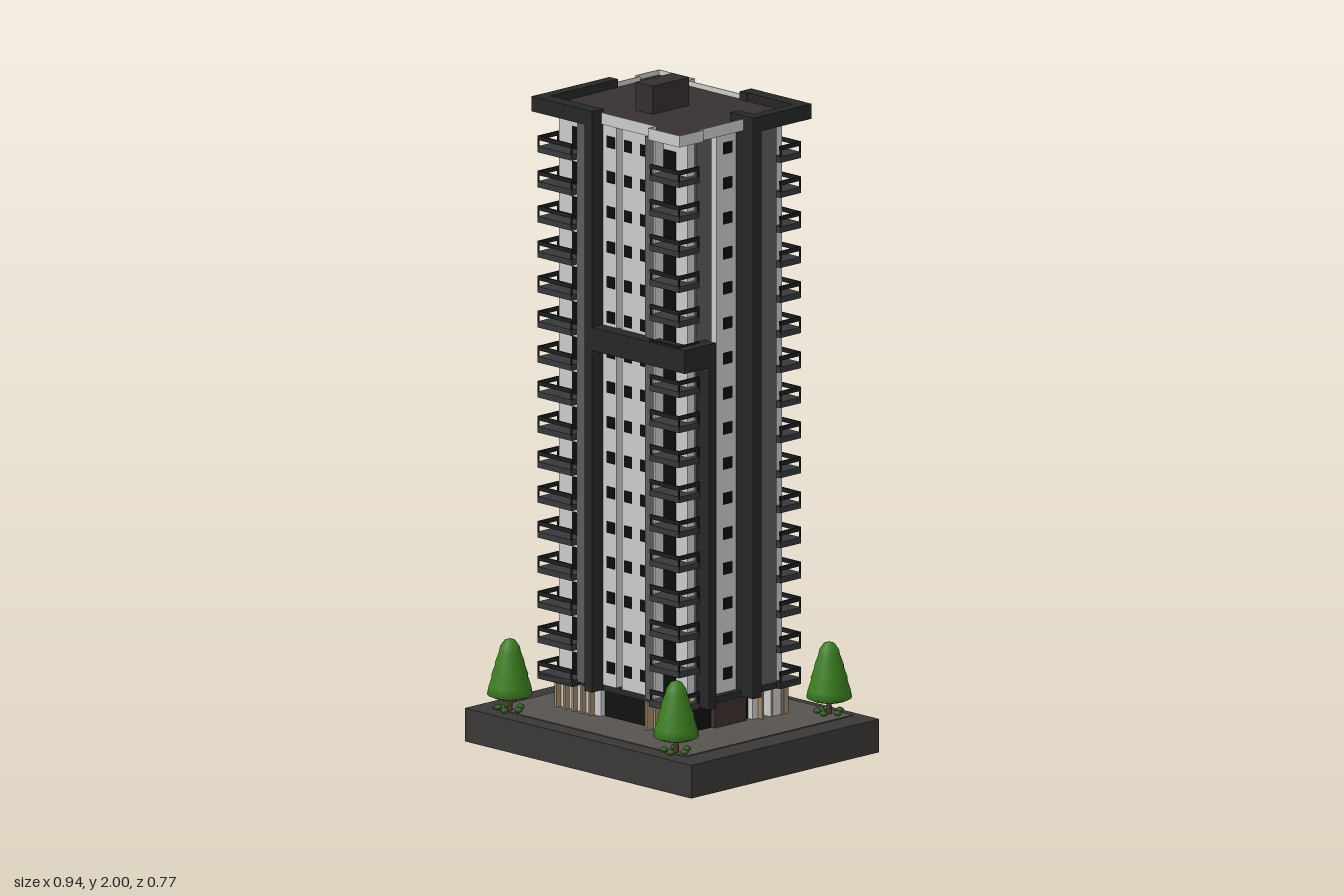
import * as THREE from 'three';
import { mergeGeometries } from 'three/addons/utils/BufferGeometryUtils.js';

const FLOORS = 16, PITCH = 0.1055, Y0 = 0.2, TOP = 1.895;
const CX = -0.022, CZ = -0.02; // tower centre

const COLORS = {
  plinth: 0x3a3836, paving: 0x56524f, walls: 0xcccccc, roofParapet: 0xcccccc,
  cornerFins: 0x5c5c5c, frames: 0x262727, balconySlabs: 0x36383a, balconyRails: 0x1c1d1e,
  windows: 0x0c0c0c, balconyDoors: 0x0c0c0c, recesses: 0x0a0a0a, floorPlate: 0x262829,
  roof: 0x373130, roofHousing: 0x352f2e, lobbyGlass: 0x111111, lobbyPanels: 0xcccccc,
  lobbyFins: 0xa08a6c, lobbyDoors: 0x3a302e,
};

export function createModel() {
  const model = new THREE.Group();
  const parts = {};

  // Collects boxes by part name; each part becomes one mesh
  const box = (name, x0, x1, y0, y1, z0, z1) => {
    const g = new THREE.BoxGeometry(Math.abs(x1 - x0), y1 - y0, Math.abs(z1 - z0));
    g.translate((x0 + x1) / 2, (y0 + y1) / 2, (z0 + z1) / 2);
    (parts[name] ??= []).push(g);
  };
  // Box relative to the tower centre, with mirror signs
  const tower = (sx, sz) => (name, x0, x1, y0, y1, z0, z1) =>
    box(name, CX + sx * x0, CX + sx * x1, y0, y1, CZ + sz * z0, CZ + sz * z1);
  const floors = (fn) => { for (let k = 0; k < FLOORS; k++) fn(Y0 + k * PITCH); };

  // Site
  box('plinth', -0.47, 0.47, 0, 0.1, -0.385, 0.385);
  box('paving', -0.41, 0.39, 0.1, 0.103, -0.355, 0.33);

  // Tower core, entrance storey, roof
  const c = tower(1, 1);
  c('recesses', -0.22, 0.22, Y0, TOP, -0.185, 0.185);
  c('lobbyGlass', -0.225, 0.225, 0.1, 0.19, -0.185, 0.185);
  c('floorPlate', -0.27, 0.27, 0.188, 0.207, -0.215, 0.215);
  c('roof', -0.289, 0.277, TOP, 1.915, -0.22, 0.22);
  box('roofHousing', -0.08, -0.01, 1.9, 2, -0.08, 0.07);

  // Four corner rooms with wrap-round balconies; the -x side reaches a little further
  for (const sx of [1, -1]) for (const sz of [1, -1]) {
    const b = tower(sx, sz);
    const wallX = sx === 1 ? 0.262 : 0.27;
    const edge = sx === 1 ? 0.284 : 0.303;
    b('walls', 0.13, wallX, Y0, TOP, 0.13, 0.194);
    b('walls', 0.158, 0.162, Y0, TOP, 0.15, 0.228);
    b('cornerFins', 0.122, 0.158, Y0, TOP, 0.15, 0.229);
    b('cornerFins', 0.2, 0.268, Y0, TOP, 0.102, 0.165);
    b('roof', 0.157, edge + 0.003, TOP, 1.915, 0.155, 0.25);
    b('floorPlate', 0.16, edge, 0.188, 0.207, 0.165, 0.25);
    floors((y) => {
      b('balconySlabs', 0.162, edge, y - 0.01, y + 0.008, 0.165, 0.25);
      b('balconyDoors', 0.165, 0.215, y + 0.008, y + 0.075, 0.185, 0.1965);
      // Top rail and posts
      b('balconyRails', 0.162, edge, y + 0.027, y + 0.04, 0.245, 0.25);
      b('balconyRails', edge - 0.005, edge, y + 0.027, y + 0.04, 0.165, 0.25);
      for (const [x, z] of [[0.163, 0.246], [edge - 0.004, 0.246], [edge - 0.004, 0.166]])
        b('balconyRails', x, x + 0.004, y, y + 0.04, z, z + 0.004);
    });
  }

  // Half of the tower, repeated by a half turn
  for (const s of [1, -1]) {
    const h = tower(s, s);

    // Long face: wall strips, leaving a dark vertical slot
    h('walls', -0.125, -0.01, Y0, TOP, 0.15, 0.215);
    h('walls', 0.012, 0.125, Y0, TOP, 0.15, 0.215);
    // Short face: wall strip beside a wide dark slot
    h('walls', 0.18, 0.248, Y0, TOP, -0.105, 0.06);

    floors((y) => {
      for (const x of [-0.122, -0.05, 0.022, 0.088])
        h('windows', x, x + 0.032, y + 0.045, y + 0.08, 0.2, 0.2165);
      for (const z of [-0.1, -0.003])
        h('windows', 0.235, 0.2495, y + 0.045, y + 0.08, z, z + 0.038);
    });

    // Tall frame: L-shaped crown on two full-height posts;
    // on one side the end post returns over the roof
    const end = s === 1 ? -0.06 : 0.02;
    const postTop = s === 1 ? TOP : 1.94;
    h('frames', -0.318, -0.067, 1.895, 1.94, 0.215, 0.26);
    h('frames', -0.318, -0.283, 1.895, 1.94, end, 0.26);
    h('frames', -0.098, -0.067, 0.19, 1.94, 0.212, 0.26);
    h('frames', -0.318, -0.283, 0.19, 1.9, end, end + 0.035);
    h('frames', -0.29, -0.222, 0.19, postTop, end, end + 0.035);

    // Short frame: L-shaped band on posts, two thirds up
    h('frames', -0.067, 0.317, 1.22, 1.29, 0.21, 0.26);
    h('frames', 0.27, 0.317, 1.22, 1.29, 0.13, 0.26);
    h('frames', 0.25, 0.317, 0.19, 1.29, 0.13, 0.16);

    // Thin pale parapet round the open roof corner
    const side = s === 1 ? 0.277 : 0.289;
    const corner = s === 1 ? 0.288 : 0.307;
    h('roofParapet', -0.067, 0.157, TOP, 1.93, 0.219, 0.222);
    h('roofParapet', 0.157, corner, TOP, 1.93, 0.249, 0.252);
    h('roofParapet', 0.157, 0.16, TOP, 1.93, 0.219, 0.252);
    h('roofParapet', corner - 0.003, corner, TOP, 1.93, 0.155, 0.252);
    h('roofParapet', side, corner, TOP, 1.93, 0.154, 0.157);
    h('roofParapet', side - 0.002, side + 0.001, TOP, 1.93, s === 1 ? -0.02 : 0.06, 0.155);

    // Entrance storey: pale panels, timber fins, side doors
    h('lobbyPanels', -0.26, -0.09, 0.1, 0.19, 0.15, 0.2);
    h('lobbyPanels', 0.2, 0.245, 0.1, 0.19, -0.2, -0.165);
    h('lobbyPanels', 0.2, 0.245, 0.1, 0.19, -0.12, -0.09);
    h('lobbyPanels', 0.225, 0.262, 0.1, 0.19, 0.17, 0.21);
    h('lobbyDoors', 0.2, 0.24, 0.1, 0.19, -0.07, 0.06);
    for (let i = 0; i < 5; i++) {
      h('lobbyFins', -0.265 + i * 0.035, -0.257 + i * 0.035, 0.1, 0.19, 0.2, 0.218);
      h('lobbyFins', 0.11 + i * 0.036, 0.118 + i * 0.036, 0.1, 0.19, 0.185, 0.218);
    }
    for (let i = 0; i < 3; i++)
      h('lobbyFins', 0.24, 0.262, 0.1, 0.19, -0.2 + i * 0.04, -0.192 + i * 0.04);
  }

  for (const [name, geos] of Object.entries(parts)) {
    const mesh = new THREE.Mesh(mergeGeometries(geos),
      new THREE.MeshStandardMaterial({ color: COLORS[name] }));
    mesh.name = name;
    model.add(mesh);
  }

  // Corner trees: layered bell-shaped crown, trunk, low shrubs
  const crownProfile = [[0, 0.15], [0.05, 0.144], [0.067, 0.152], [0.062, 0.178], [0.053, 0.205],
    [0.054, 0.212], [0.044, 0.24], [0.043, 0.25], [0.032, 0.28], [0.029, 0.295], [0.016, 0.314],
    [0, 0.32]].map(([r, y]) => new THREE.Vector2(r, y));
  const crownGeo = new THREE.LatheGeometry(crownProfile, 18);
  const trunkGeo = new THREE.CylinderGeometry(0.006, 0.009, 0.06, 8).translate(0, 0.13, 0);
  const shrubGeo = new THREE.SphereGeometry(0.012, 8, 6).scale(1, 0.7, 1);
  const green = new THREE.MeshStandardMaterial({ color: 0x3a7d1e });
  const darkGreen = new THREE.MeshStandardMaterial({ color: 0x2c5a1a });
  const bark = new THREE.MeshStandardMaterial({ color: 0x4a3a2a });
  for (const [x, z] of [[-0.358, -0.32], [0.328, -0.32], [-0.352, 0.317], [0.338, 0.317]]) {
    const tree = new THREE.Group();
    tree.name = 'tree';
    const add = (name, geo, mat) => {
      const m = new THREE.Mesh(geo, mat);
      m.name = name;
      tree.add(m);
      return m;
    };
    add('treeCrown', crownGeo, green);
    add('treeTrunk', trunkGeo, bark);
    for (let i = 0; i < 5; i++) {
      const a = i * Math.PI * 2 / 5;
      add('shrub', shrubGeo, darkGreen).position.set(Math.cos(a) * 0.035, 0.11, Math.sin(a) * 0.035);
    }
    tree.position.set(x, 0, z);
    model.add(tree);
  }
  return model;
}
